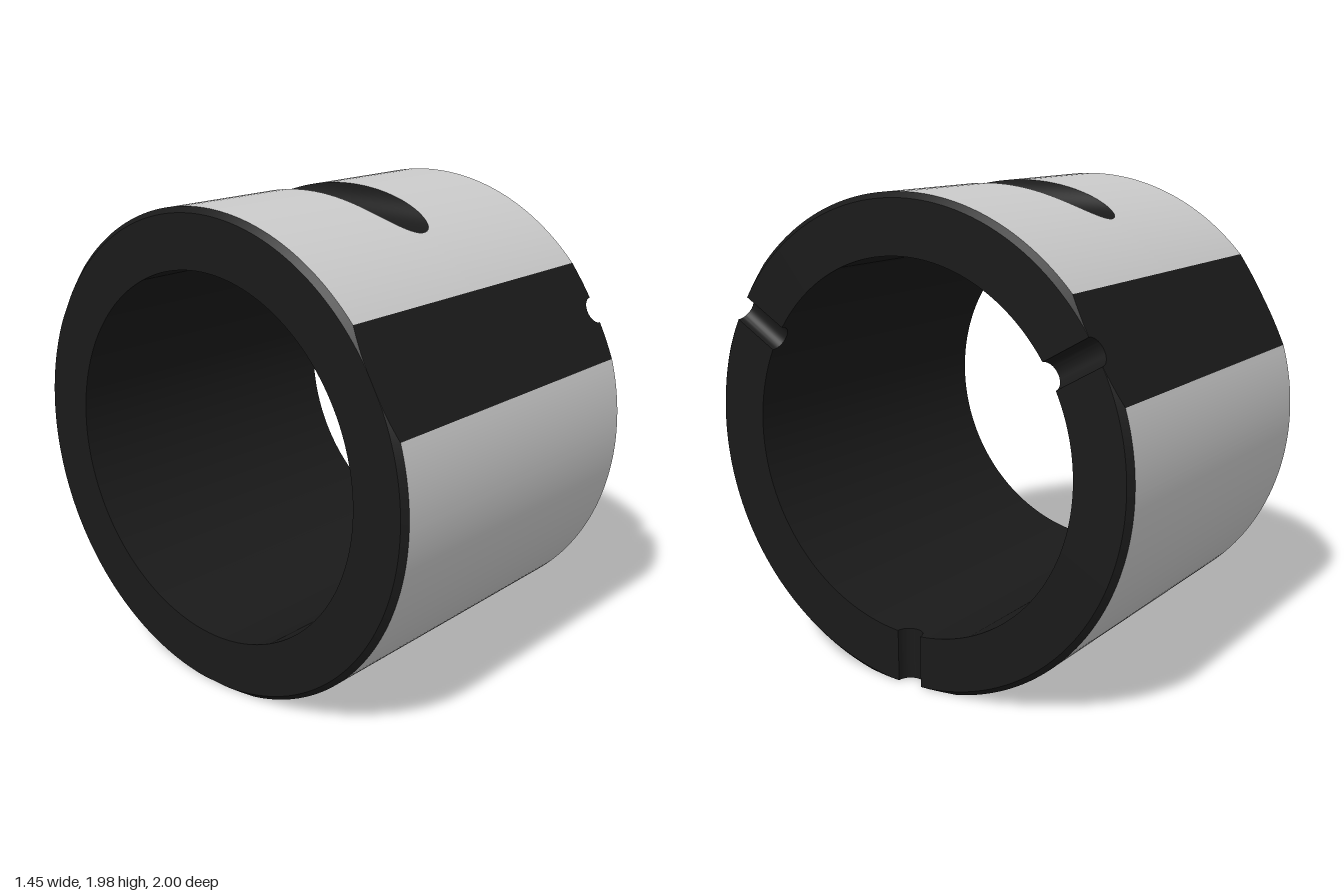
import * as THREE from 'three';
import { toCreasedNormals } from 'three/addons/utils/BufferGeometryUtils.js';

const R = 1, BORE = 0.76, FLAT = 0.976;      // outer radius, bore radius, distance of flats from axis
const L = 0.725, CHAMFER = 0.022;            // half length, edge chamfer
const NOTCH = 0.056, SLOT = 0.13;            // radii of the end notches and the top slot
const HALF_FLAT = Math.acos(FLAT / R), HALF_ARC = Math.PI / 3 - HALF_FLAT;
const HALF_SLOT = Math.acos(1 - SLOT / R);
const CY = FLAT;                             // height of the axis

// Evenly spaced values, and values bunched towards both ends
const span = (a, b, n) => Array.from({ length: n + 1 }, (_, i) => a + (b - a) * i / n);
const bunched = (h, n) => span(Math.PI, 0, n).map(s => h * Math.cos(s));

// Point at x, with radial distance u and sideways offset t in the direction of angle a
const at = (x, u, t, a) => new THREE.Vector3(
  x, CY + u * Math.sin(a) + t * Math.cos(a), u * Math.cos(a) - t * Math.sin(a));

// Skin a list of rows of points, skipping empty triangles
function loft(rows) {
  const pos = [];
  const tri = (a, b, c) => {
    if (new THREE.Triangle(a, b, c).getArea() < 1e-9) return;
    for (const p of [a, b, c]) pos.push(p.x, p.y, p.z);
  };
  for (let i = 0; i < rows.length - 1; i++) {
    for (let j = 0; j < rows[i].length - 1; j++) {
      tri(rows[i][j], rows[i + 1][j], rows[i + 1][j + 1]);
      tri(rows[i][j], rows[i + 1][j + 1], rows[i][j + 1]);
    }
  }
  const g = new THREE.BufferGeometry();
  g.setAttribute('position', new THREE.Float32BufferAttribute(pos, 3));
  return toCreasedNormals(g, 0.5);
}

// Cross-section of the wall, cut along a radial line at angle a + phi
function radialSection(a, phi, r) {
  const q = a + phi, face = Math.min(r, R - CHAMFER), bevel = r - face;
  return {
    angle: q,
    bore: [at(-L, BORE, 0, q), at(L, BORE, 0, q)],
    notchedEnd: [at(L, BORE, 0, q), at(L, face, 0, q)],
    notchedChamfer: [at(L, face, 0, q), at(L - bevel, r, 0, q)],
    outer: [at(L - bevel, r, 0, q), at(-L + bevel, r, 0, q)],
    plainChamfer: [at(-L + bevel, r, 0, q), at(-L, face, 0, q)],
    plainEnd: [at(-L, face, 0, q), at(-L, BORE, 0, q)],
  };
}

// Cross-section through an end notch, cut parallel to the middle of a flat
function notchSection(a, t) {
  const u = Math.sqrt(BORE * BORE - t * t);
  const x = L - Math.sqrt(Math.max(0, NOTCH * NOTCH - t * t));
  const bi = at(x, u, t, a), bo = at(x, FLAT, t, a);
  const ci = at(-L, u, t, a), co = at(-L, FLAT, t, a);
  return {
    bore: [ci, bi], notchedEnd: [bi, bo], notchedChamfer: [bo, bo],
    outer: [bo, co], plainChamfer: [co, co], plainEnd: [co, ci],
  };
}

function flatSections(a) {
  const side = phi => radialSection(a, phi, FLAT / Math.cos(phi));
  return [
    ...span(-HALF_FLAT, -0.09, 6).map(side),
    ...bunched(NOTCH, 24).map(t => notchSection(a, t)),
    ...span(0.09, HALF_FLAT, 6).map(side),
  ];
}

function arcSections(a) {
  return [
    ...span(-HALF_ARC, -HALF_SLOT, 12).slice(0, -1),
    ...bunched(HALF_SLOT, 48),
    ...span(HALF_SLOT, HALF_ARC, 12).slice(1),
  ].map(phi => radialSection(a, phi, R));
}

export function createModel() {
  const model = new THREE.Group();
  model.name = 'bushing';
  const grey = new THREE.MeshStandardMaterial({ color: 0xcccccc });
  const dark = new THREE.MeshStandardMaterial({ color: 0x1a1a1a });
  const add = (name, rows, material) => {
    const mesh = new THREE.Mesh(loft(rows), material);
    mesh.name = name;
    model.add(mesh);
  };

  // Three dark flats alternate with three grey arcs; the first arc is the top one
  const ring = [];
  for (let k = 0; k < 3; k++) {
    const turn = k * Math.PI * 2 / 3;
    const flat = flatSections(Math.PI / 6 + turn);
    const arc = arcSections(Math.PI / 2 + turn);
    ring.push(...flat, ...arc);
    add('flat' + (k + 1), flat.map(s => s.outer), dark);
    if (k > 0) {
      add('outerArc' + (k + 1), arc.map(s => s.outer), grey);
      continue;
    }

    // Top arc, split around the crosswise slot
    const width = s => {
      const drop = R - R * Math.sin(s.angle);
      return Math.sqrt(Math.max(0, SLOT * SLOT - drop * drop));
    };
    const rim = (s, x) => at(x, R, 0, s.angle);
    add('topArcLeft', arc.map(s => [s.outer[0], rim(s, width(s))]), grey);
    add('topArcRight', arc.map(s => [rim(s, -width(s)), s.outer[1]]), grey);

    // Rounded floor of the slot
    add('slotFloor', arc.map(s => bunched(width(s), 24).reverse().map(x =>
      new THREE.Vector3(x, CY + R - Math.sqrt(Math.max(0, SLOT * SLOT - x * x)),
        R * Math.cos(s.angle)))).slice(12, 61), dark);
  }
  ring.push(ring[0]);

  // Bore, end faces and chamfers run all the way round
  for (const part of ['bore', 'notchedEnd', 'notchedChamfer', 'plainChamfer', 'plainEnd'])
    add(part, ring.map(s => s[part]), dark);
  return model;
}
